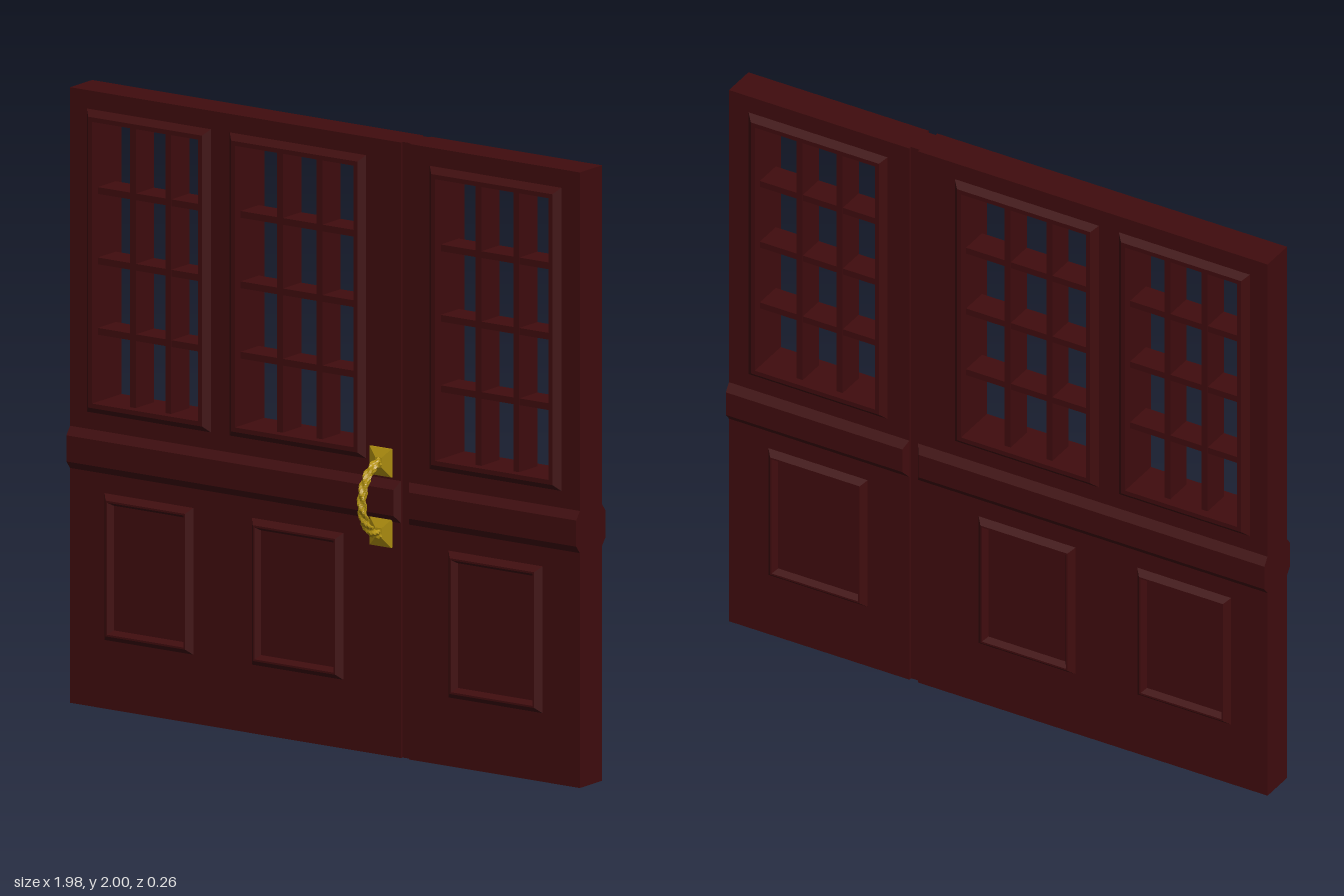
import * as THREE from 'three';

const wood = new THREE.MeshStandardMaterial({ color: 0x400c0e, flatShading: true });
const brass = new THREE.MeshStandardMaterial({ color: 0xb59410, flatShading: true });
const FRONT = 0.01, BACK = -0.11, MID = -0.05; // slab faces and mid plane

// Windows and panels: [x0, x1, y0, y1] of the outer moulding edge
const windows = [
  [-0.925, -0.443, 0.955, 1.94],
  [-0.37, 0.16, 0.955, 1.94],
  [0.407, 0.918, 0.955, 1.94],
];
const panels = [
  [-0.856, -0.511, 0.223, 0.7],
  [-0.284, 0.072, 0.223, 0.7],
  [0.48, 0.845, 0.223, 0.7],
];
const leaves = [[-0.99, 0.295], [0.327, 0.99]];

const inset = ([x0, x1, y0, y1], d) => [x0 + d, x1 - d, y0 + d, y1 - d];

// Skin between successive rectangles [x0, x1, y0, y1, z]; optional cap on the last one
function loft(rects, { cap = false, back = false } = {}) {
  const pos = [];
  const rings = rects.map(([x0, x1, y0, y1, z]) => {
    const zz = back ? 2 * MID - z : z;
    return [[x0, y0, zz], [x1, y0, zz], [x1, y1, zz], [x0, y1, zz]];
  });
  const quad = (a, b, c, d) => {
    const order = back ? [a, c, b, a, d, c] : [a, b, c, a, c, d];
    order.forEach((p) => pos.push(...p));
  };
  for (let i = 0; i + 1 < rings.length; i++) {
    for (let k = 0; k < 4; k++) {
      const n = (k + 1) % 4;
      quad(rings[i][k], rings[i][n], rings[i + 1][n], rings[i + 1][k]);
    }
  }
  if (cap) quad(...rings[rings.length - 1]);
  const g = new THREE.BufferGeometry();
  g.setAttribute('position', new THREE.Float32BufferAttribute(pos, 3));
  g.computeVertexNormals();
  return g;
}

function rectPath(path, [x0, x1, y0, y1]) {
  path.moveTo(x0, y0);
  path.lineTo(x1, y0);
  path.lineTo(x1, y1);
  path.lineTo(x0, y1);
  path.closePath();
  return path;
}

function add(parent, name, geometry, material = wood) {
  const mesh = new THREE.Mesh(geometry, material);
  mesh.name = name;
  parent.add(mesh);
  return mesh;
}

function box(parent, name, x0, x1, y0, y1, z0, z1) {
  const m = add(parent, name, new THREE.BoxGeometry(x1 - x0, y1 - y0, z1 - z0));
  m.position.set((x0 + x1) / 2, (y0 + y1) / 2, (z0 + z1) / 2);
}

// Raised frame on both faces, from a profile of [inset, z]
function moulding(parent, name, rect, profile) {
  for (const back of [false, true]) {
    const rects = profile.map(([d, z]) => [...inset(rect, d), z]);
    add(parent, name + (back ? 'Back' : 'Front'), loft(rects, { back }));
  }
}

// Twisted rope grip: a tube whose three lobes wind along the bow
function ropeGeometry() {
  const points = [];
  for (let i = 0; i <= 16; i++) {
    const a = Math.PI * (i / 16 - 0.5);
    points.push(new THREE.Vector3(0.22, 0.838 + 0.118 * Math.sin(a), 0.012 + 0.105 * Math.cos(a)));
  }
  const curve = new THREE.CatmullRomCurve3(points);
  const N = 72, R = 12;
  const g = new THREE.TubeGeometry(curve, N, 0.0135, R, false);
  const p = g.attributes.position, v = new THREE.Vector3();
  for (let i = 0; i <= N; i++) {
    const c = curve.getPointAt(i / N);
    for (let j = 0; j <= R; j++) {
      const k = i * (R + 1) + j;
      const s = 1 + 0.25 * Math.cos(3 * (j / R) * Math.PI * 2 - (i / N) * Math.PI * 16);
      v.fromBufferAttribute(p, k).sub(c).multiplyScalar(s).add(c);
      p.setXYZ(k, v.x, v.y, v.z);
    }
  }
  g.computeVertexNormals();
  return g;
}

export function createModel() {
  const model = new THREE.Group();
  model.name = 'panelledDoor';

  // Door leaves with window openings
  leaves.forEach(([x0, x1], i) => {
    const shape = rectPath(new THREE.Shape(), [x0, x1, 0, 2]);
    windows.filter((w) => w[0] > x0 && w[1] < x1)
      .forEach((w) => shape.holes.push(rectPath(new THREE.Path(), inset(w, 0.035))));
    const g = new THREE.ExtrudeGeometry(shape, { depth: FRONT - BACK, bevelEnabled: false });
    g.translate(0, 0, BACK);
    add(model, i ? 'sideLeaf' : 'mainLeaf', g);

    // Bevelled middle rail, chamfered towards the joint
    const l = i ? 0.014 : 0, r = i ? 0 : 0.014;
    for (const back of [false, true]) {
      add(model, back ? 'middleRailBack' : 'middleRailFront', loft([
        [x0, x1, 0.763, 0.9, FRONT],
        [x0 + l, x1 - r, 0.788, 0.873, 0.03],
      ], { cap: true, back }));
    }
  });

  // Recessed strip in the joint between the leaves
  box(model, 'jointStrip', 0.29, 0.332, 0, 2, -0.1, 0);

  // Windows: moulding and glazing bars, three panes wide and four high
  for (const w of windows) {
    const group = new THREE.Group();
    group.name = 'window';
    model.add(group);
    moulding(group, 'windowMoulding', w, [[0, FRONT], [0.02, 0.03], [0.035, 0.03], [0.035, FRONT]]);
    const [x0, x1, y0, y1] = inset(w, 0.035);
    for (let i = 1; i < 3; i++) {
      const x = x0 + ((x1 - x0) * i) / 3;
      box(group, 'verticalBar', x - 0.011, x + 0.011, y0, y1, -0.1, 0);
    }
    for (let i = 1; i < 4; i++) {
      const y = y0 + ((y1 - y0) * i) / 4;
      box(group, 'horizontalBar', x0, x1, y - 0.011, y + 0.011, -0.099, -0.001);
    }
  }

  // Lower panels
  for (const p of panels) {
    moulding(model, 'panelMoulding', p, [[0, FRONT], [0.018, 0.03], [0.024, 0.03], [0.036, FRONT]]);
  }

  // Pull handle with two pyramid plates
  const handle = new THREE.Group();
  handle.name = 'handle';
  model.add(handle);
  for (const y of [0.725, 0.954]) {
    const plate = [0.178, 0.262, y - 0.046, y + 0.046];
    add(handle, 'handlePlate', loft([
      [...plate, FRONT],
      [...plate, 0.016],
      [...inset(plate, 0.03), 0.028],
    ], { cap: true }), brass);
  }
  add(handle, 'ropeGrip', ropeGeometry(), brass);

  return model;
}
